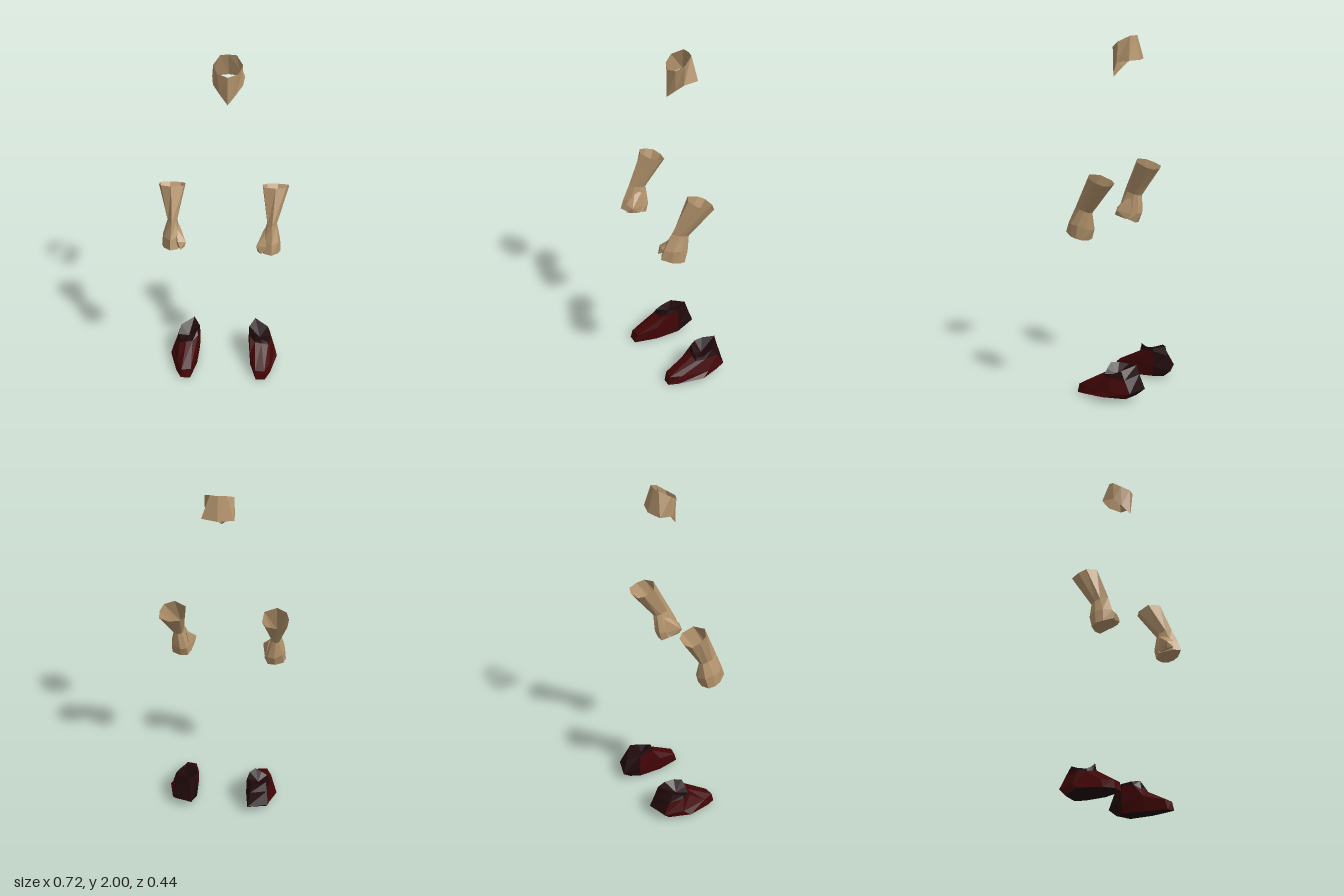
import * as THREE from 'three';
import { ConvexGeometry } from 'three/addons/geometries/ConvexGeometry.js';

function flat(name, color) {
  const m = new THREE.MeshStandardMaterial({ color, flatShading: true, side: THREE.DoubleSide });
  m.name = name;
  return m;
}
const tan = flat('tan cloth', 0xb4946d);
const red = flat('deep red leather', 0x430506);
const dark = flat('dark leather', 0x21090b);

// Skin a stack of rings (top to bottom), using only the listed columns
function loft(rings, columns = rings[0].map((_, i) => i)) {
  const out = [];
  for (let r = 0; r < rings.length - 1; r++) {
    for (const i of columns) {
      const j = (i + 1) % rings[0].length;
      const [a, b, c, d] = [rings[r][i], rings[r][j], rings[r + 1][j], rings[r + 1][i]];
      out.push(...a, ...b, ...c, ...a, ...c, ...d);
    }
  }
  return geometry(out);
}

// Close a ring with a fan, its middle raised or sunk by dy; dir 1 faces down, -1 up
function fan(ring, dir, dy = 0) {
  const n = ring.length;
  const mid = [0, 1, 2].map((k) => ring.reduce((s, p) => s + p[k], 0) / n);
  mid[1] += dy;
  return geometry(ring.flatMap((p, i) => {
    const q = ring[(i + 1) % n];
    return dir > 0 ? [...p, ...q, ...mid] : [...q, ...p, ...mid];
  }));
}

function geometry(positions) {
  const g = new THREE.BufferGeometry();
  g.setAttribute('position', new THREE.Float32BufferAttribute(positions, 3));
  g.computeVertexNormals();
  return g;
}

// Mirror rings to the other side, keeping the faces outward
const mirrorRings = (rings) => rings.map((ring) => ring.map(([x, y, z]) => [-x, y, z]).reverse());

function part(name, geo, material) {
  const m = new THREE.Mesh(geo, material);
  m.name = name;
  return m;
}

// Collar: half outlines from back centre to front centre, mirrored about its own middle
function collar() {
  const cx = 0.022;
  const full = (half) => [
    ...half.map(([x, y, z]) => [cx + x, y, z]),
    ...half.slice(1, -1).reverse().map(([x, y, z]) => [cx - x, y, z]),
  ];
  const top = full([[0, 2, -0.077], [0.043, 2, -0.07], [0.078, 1.97, -0.015], [0.056, 1.94, 0.028], [0, 1.93, 0.052]]);
  const bottom = full([[0, 1.87, -0.111], [0.087, 1.87, -0.087], [0.079, 1.858, -0.008], [0.043, 1.817, 0.024], [0, 1.77, 0.054]]);
  return part('collar', loft([top, bottom]), tan);
}

// Glove: open cuff, narrow wrist, closed fist, with a thumb on the inner front
function glove(side) {
  const cuff = [[0.213, -0.037], [0.238, -0.067], [0.3, -0.075], [0.354, -0.057],
    [0.358, -0.01], [0.342, 0.035], [0.285, 0.062], [0.218, 0.03]].map(([x, z]) => [x, 1.247 + 0.37 * z, z]);
  const wrist = [[0.243, 0.085], [0.25, 0.064], [0.272, 0.052], [0.29, 0.06],
    [0.297, 0.09], [0.293, 0.12], [0.27, 0.155], [0.246, 0.13]].map(([x, z]) => [x, 1.042 + 0.25 * z, z]);
  const knuckles = [[0.212, 0.955, 0.1], [0.223, 0.955, 0.065], [0.26, 0.955, 0.055], [0.305, 0.97, 0.075],
    [0.316, 0.985, 0.12], [0.307, 0.99, 0.165], [0.27, 0.99, 0.2], [0.23, 1, 0.17]];
  const base = [[0.2, 0.92, 0.115], [0.222, 0.9, 0.08], [0.265, 0.897, 0.08], [0.31, 0.905, 0.095],
    [0.321, 0.914, 0.13], [0.307, 0.92, 0.17], [0.27, 0.935, 0.218], [0.228, 0.93, 0.195]];
  const thumb = [[0.25, 1.045, 0.13], [0.228, 1.035, 0.1], [0.185, 0.97, 0.183], [0.193, 0.935, 0.178],
    [0.213, 0.937, 0.209], [0.228, 0.98, 0.2], [0.25, 0.96, 0.17], [0.21, 0.95, 0.1], [0.2, 0.92, 0.13]];

  // The right hand hangs slightly further out and back
  const pose = ([x, y, z]) => {
    const t = side > 0 ? 0 : Math.min(1, Math.max(0, (1.22 - y) / 0.25));
    return [x + 0.019 * t, y, z - 0.028 * t];
  };
  let rings = [cuff, wrist, knuckles, base].map((ring) => ring.map(pose));
  if (side < 0) rings = mirrorRings(rings);
  const points = thumb.map(pose).map(([x, y, z]) => new THREE.Vector3(side * x, y, z));

  const g = new THREE.Group();
  g.name = side > 0 ? 'leftGlove' : 'rightGlove';
  g.add(
    part('cuffAndFist', loft(rings), tan),
    part('fistBase', fan(rings[3], 1), tan),
    part('thumb', new ConvexGeometry(points), tan),
  );
  return g;
}

// Shoe: dark ankle, heel and sole with a red upper around the front
function shoe(side) {
  const rim = [[0.185, 0.198, -0.175], [0.262, 0.178, -0.12], [0.275, 0.152, -0.06], [0.26, 0.145, -0.015],
    [0.225, 0.165, -0.012], [0.19, 0.193, -0.018], [0.16, 0.19, -0.055], [0.15, 0.185, -0.11]];
  const throat = [[0.178, 0.145, -0.19], [0.272, 0.13, -0.145], [0.283, 0.135, -0.06], [0.265, 0.128, -0.008],
    [0.225, 0.14, -0.002], [0.188, 0.145, -0.008], [0.157, 0.165, -0.035], [0.148, 0.172, -0.112]];
  const band = [[0.165, 0.06, -0.218], [0.282, 0.06, -0.184], [0.306, 0.06, -0.07], [0.275, 0.06, 0.09],
    [0.245, 0.055, 0.155], [0.19, 0.055, 0.148], [0.157, 0.09, 0.03], [0.146, 0.08, -0.115]];
  const sole = [[0.175, 0.02, -0.17], [0.27, 0.022, -0.15], [0.32, 0.03, -0.03], [0.28, 0.015, 0.11],
    [0.25, 0.005, 0.165], [0.195, 0, 0.163], [0.16, 0.006, 0.03], [0.15, 0.018, -0.11]];
  let rings = [rim, throat, band, sole];
  let heel = [7, 0];
  let upper = [1, 2, 3, 4, 5, 6];
  if (side < 0) {
    // Reversing a ring of eight turns column i into column 6 - i
    rings = mirrorRings(rings);
    [heel, upper] = [heel, upper].map((cols) => cols.map((i) => (14 - i) % 8));
  }
  const body = rings.slice(1);
  const g = new THREE.Group();
  g.name = side > 0 ? 'leftShoe' : 'rightShoe';
  g.add(
    part('ankle', loft(rings.slice(0, 2)), dark),
    part('lining', fan(rings[0], -1, -0.04), dark),
    part('heel', loft(body, heel), dark),
    part('upper', loft(body, upper), red),
    part('sole', fan(rings[3], 1), dark),
  );
  return g;
}

export function createModel() {
  const model = new THREE.Group();
  model.name = 'outfit';
  model.add(collar());
  for (const side of [1, -1]) model.add(glove(side), shoe(side));
  return model;
}
